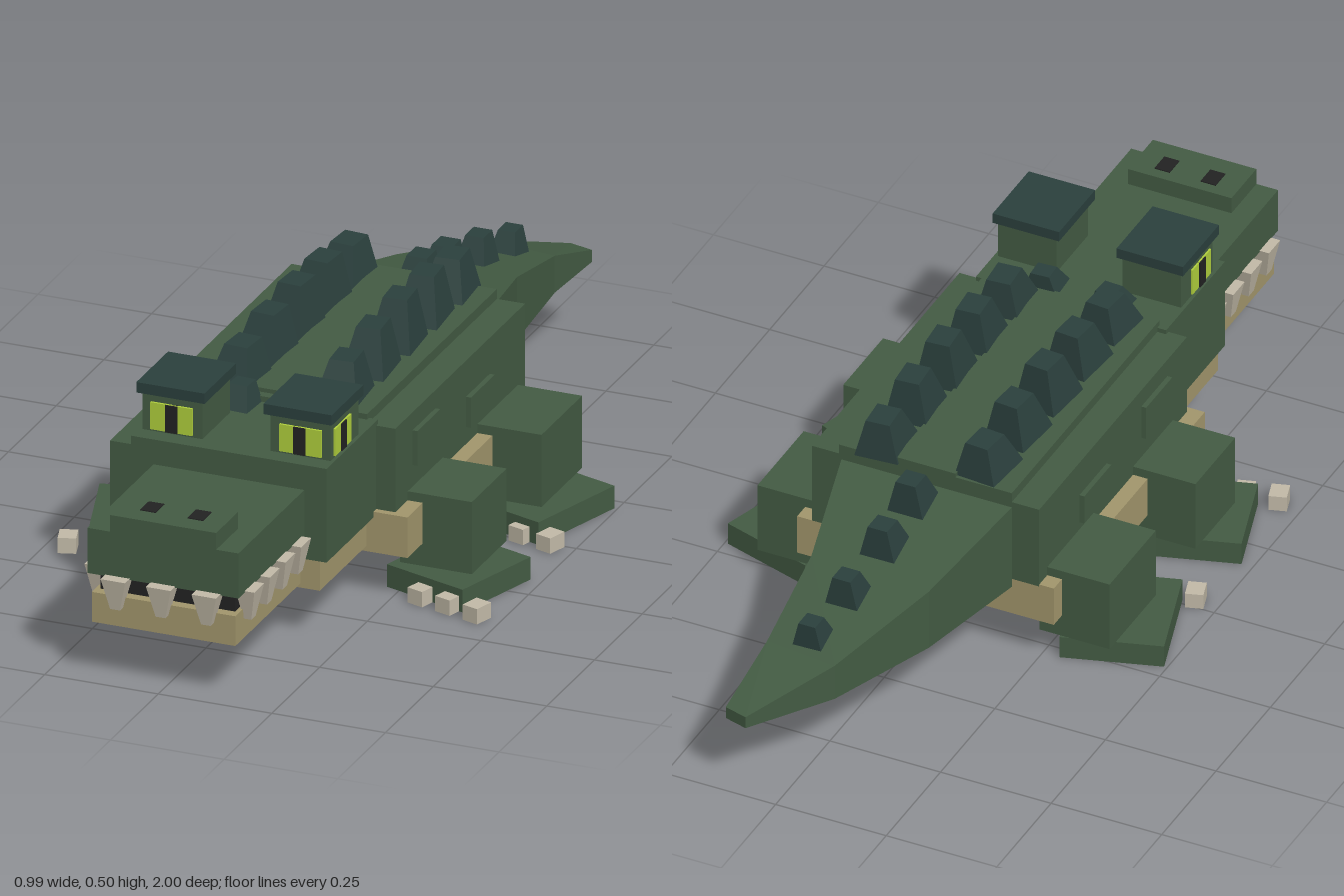
import * as THREE from 'three';

const mat = (name, color) => {
  const m = new THREE.MeshStandardMaterial({ color });
  m.name = name;
  return m;
};

export function createModel() {
  const green = mat('hide green', 0x435b43);
  const dark = mat('dark scale green', 0x2b403d);
  const tan = mat('belly tan', 0xa2966c);
  const bone = mat('tooth bone', 0xc2baa8);
  const lime = mat('eye lime', 0xb0cf3c);
  const black = mat('black', 0x222222);

  const model = new THREE.Group();
  model.name = 'crocodile';

  const add = (name, geometry, material, parent = model) => {
    const mesh = new THREE.Mesh(geometry, material);
    mesh.name = name;
    parent.add(mesh);
    return mesh;
  };

  // Box given by its minimum and maximum on each axis
  const box = (name, material, x0, x1, y0, y1, z0, z1, parent = model) => {
    const mesh = add(name, new THREE.BoxGeometry(x1 - x0, y1 - y0, z1 - z0), material, parent);
    mesh.position.set((x0 + x1) / 2, (y0 + y1) / 2, (z0 + z1) / 2);
    return mesh;
  };

  // Box on y = 0 whose top is scaled and slid along z
  const taper = (w, h, d, sx, sz, slide = 0) => {
    const g = new THREE.BoxGeometry(w, h, d).translate(0, h / 2, 0);
    const p = g.attributes.position;
    for (let i = 0; i < p.count; i++) {
      if (p.getY(i) > h / 2) {
        p.setX(i, p.getX(i) * sx);
        p.setZ(i, p.getZ(i) * sz + slide);
      }
    }
    g.computeVertexNormals();
    return g;
  };

  // Body
  box('body', green, -0.257, 0.257, 0.185, 0.375, -0.31, 0.37);
  box('backPlate', green, -0.195, 0.195, 0.375, 0.397, -0.31, 0.37);
  box('backRidge', green, -0.068, 0.068, 0.397, 0.406, -0.31, 0.35);
  box('belly', tan, -0.29, 0.29, 0.1, 0.19, -0.31, 0.385);

  // Head and jaws
  box('head', green, -0.215, 0.215, 0.177, 0.385, 0.36, 0.63);
  box('throat', tan, -0.2, 0.2, 0.112, 0.18, 0.38, 0.63);
  box('snout', green, -0.166, 0.166, 0.23, 0.33, 0.63, 0.975);
  box('mouth', black, -0.148, 0.148, 0.185, 0.23, 0.63, 0.95);
  box('lowerJaw', tan, -0.158, 0.158, 0.122, 0.188, 0.63, 0.972);
  box('nose', green, -0.117, 0.117, 0.33, 0.367, 0.86, 0.975);

  // Teeth hang from the snout, wide at the root
  const tooth = (x, z, w, d) => {
    const mesh = add('tooth', taper(w, 0.068, d, 0.4, 0.45), bone);
    mesh.rotation.x = Math.PI;
    mesh.position.set(x, 0.233, z);
  };
  for (const x of [-0.1, 0, 0.1]) tooth(x, 0.979, 0.054, 0.042);

  // Frustum scale that leans back
  const spike = (name, x, y, z, w, h, d, yaw = 0) => {
    const mesh = add(name, taper(w, h, d, 0.55, 0.55, -0.018), dark);
    mesh.position.set(x, y, z);
    mesh.rotation.y = yaw;
  };

  const backHeights = [0.085, 0.1, 0.108, 0.102, 0.085];
  const backZ = [0.31, 0.17, 0.03, -0.11, -0.245];

  for (const s of [-1, 1]) {
    const span = (a, b) => (s > 0 ? [a, b] : [-b, -a]);

    box('nostril', black, ...span(0.035, 0.069), 0.364, 0.369, 0.885, 0.93);
    for (const z of [0.67, 0.752, 0.834, 0.916]) tooth(s * 0.166, z, 0.042, 0.052);

    // Eye turret with plates on its front and outer side
    box('eyeBlock', green, ...span(0.075, 0.207), 0.385, 0.47, 0.445, 0.59);
    box('eyeCap', dark, ...span(0.065, 0.215), 0.47, 0.493, 0.437, 0.603);
    box('eyeFront', lime, ...span(0.096, 0.188), 0.39, 0.45, 0.588, 0.595);
    box('pupilFront', black, ...span(0.128, 0.154), 0.39, 0.45, 0.59, 0.598);
    box('eyeSide', lime, ...span(0.204, 0.211), 0.39, 0.45, 0.49, 0.575);
    box('pupilSide', black, ...span(0.206, 0.214), 0.39, 0.45, 0.52, 0.546);

    // Raised flank plates
    box('flankPlate', green, ...span(0.25, 0.268), 0.258, 0.335, 0.16, 0.28);
    box('flankPlate', green, ...span(0.25, 0.268), 0.228, 0.295, -0.125, 0);

    // Back and neck scales
    backZ.forEach((z, i) => spike('backSpike', s * 0.112, 0.392, z - (s > 0 ? 0.015 : 0),
      0.095, backHeights[i], 0.12, s * 0.08));
    spike('neckSpike', s * 0.075, 0.38, 0.402, 0.075, 0.05, 0.075, s * 0.06);

    // Legs, with feet turned outward
    for (const [name, z0, z1, fx, fz, w, l, clawZ] of [
      ['front', 0.122, 0.305, 0.347, 0.252, 0.2, 0.215, 0.402],
      ['rear', -0.273, -0.06, 0.355, -0.133, 0.215, 0.24, 0.018],
    ]) {
      box(name + 'Leg', green, ...span(0.24, 0.398), 0.05, 0.21, z0, z1);
      const foot = add(name + 'Foot', new THREE.BoxGeometry(w, 0.05, l), green);
      foot.position.set(s * fx, 0.025, fz);
      foot.rotation.y = -s * 0.3;
      for (let i = 0; i < 3; i++) {
        const claw = add(name + 'Claw', new THREE.BoxGeometry(0.038, 0.034, 0.045), bone);
        claw.position.set(s * (0.45 - i * 0.068), 0.017, clawZ - i * 0.018);
        claw.rotation.y = -s * 0.3;
      }
    }
  }

  // Tail: rectangular sections bending to the left [x0, x1, y0, y1, zLeft, zRight]
  const sections = [
    [-0.195, 0.19, 0.165, 0.362, -0.31, -0.31],
    [-0.14, 0.13, 0.167, 0.306, -0.58, -0.57],
    [-0.05, 0.112, 0.17, 0.252, -0.83, -0.81],
    [0.068, 0.12, 0.168, 0.195, -1, -0.985],
  ];
  const corners = sections.map(([x0, x1, y0, y1, zl, zr]) => [
    [x0, y0, zl], [x1, y0, zr], [x1, y1, zr], [x0, y1, zl]]);
  const pos = [];
  const quad = (a, b, c, d) => pos.push(...a, ...b, ...c, ...a, ...c, ...d);
  for (let i = 0; i < 3; i++) {
    const [a, b] = [corners[i], corners[i + 1]];
    for (let j = 0; j < 4; j++) {
      const k = (j + 1) % 4;
      quad(a[j], b[j], b[k], a[k]);
    }
  }
  quad(...corners[0]);
  quad(...[...corners[3]].reverse());
  const tail = new THREE.BufferGeometry();
  tail.setAttribute('position', new THREE.Float32BufferAttribute(pos, 3));
  tail.computeVertexNormals();
  add('tail', tail, green);

  // Tail scales shrink toward the tip
  for (const [x, y, z, size] of [
    [0, 0.34, -0.36, 0.09], [0, 0.312, -0.49, 0.088],
    [0.01, 0.28, -0.637, 0.082], [0.026, 0.247, -0.765, 0.076],
  ]) spike('tailSpike', x, y, z, size * 0.9, size * 0.85, size);

  return model;
}
